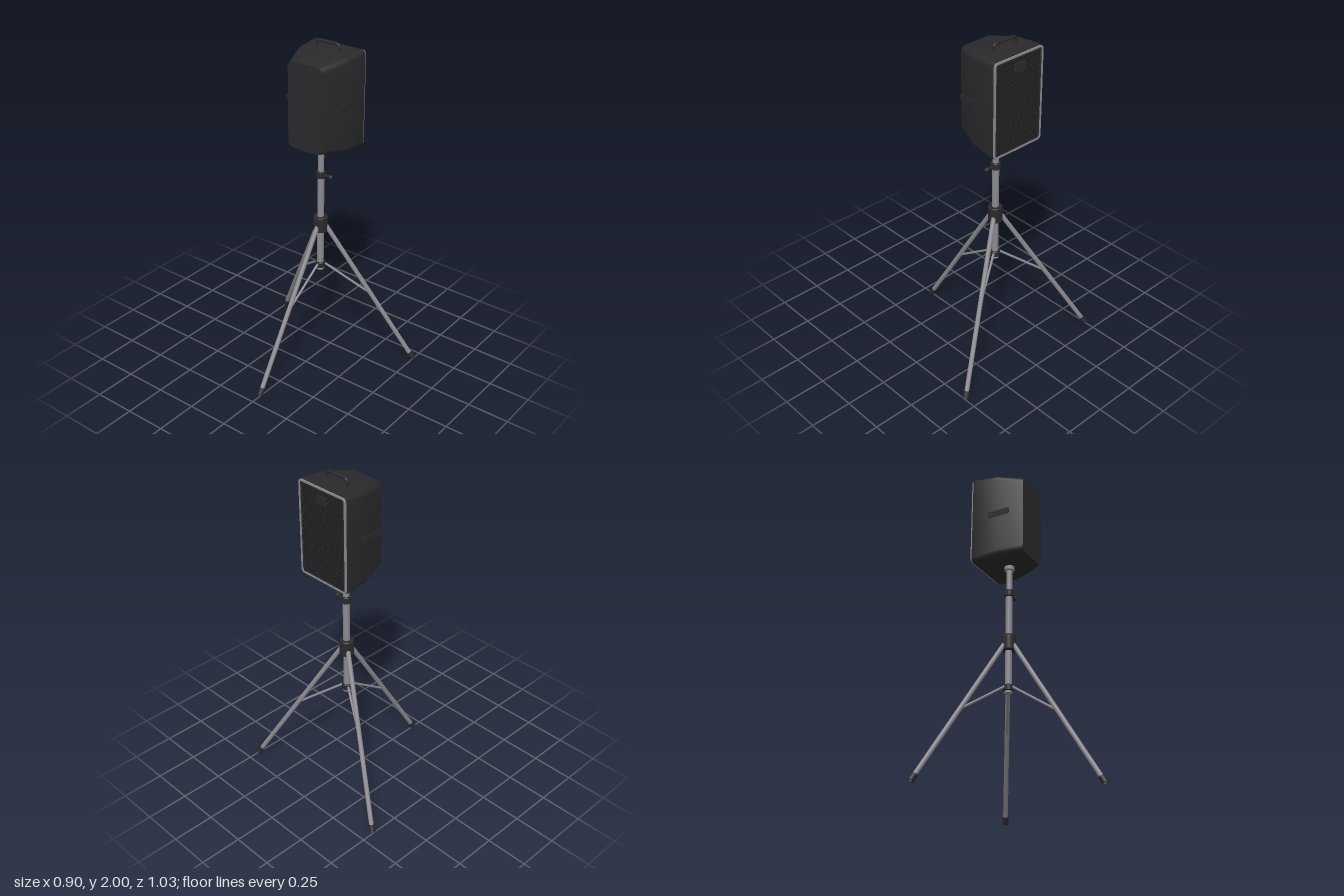
import * as THREE from 'three';
import { toCreasedNormals } from 'three/addons/utils/BufferGeometryUtils.js';

const black = new THREE.MeshStandardMaterial({ color: 0x2a2a2c });
const dark = new THREE.MeshStandardMaterial({ color: 0x161617 });
const metal = new THREE.MeshStandardMaterial({ color: 0x8c8a90 });
const mesh = new THREE.MeshStandardMaterial({ color: 0x2a2a2c, side: THREE.DoubleSide });

const POLE_X = 0.14;
const V = (x, y, z) => new THREE.Vector3(x, y, z);

function add(parent, name, geometry, material, x = 0, y = 0, z = 0) {
  const m = new THREE.Mesh(geometry, material);
  m.name = name;
  m.position.set(x, y, z);
  parent.add(m);
  return m;
}

// Cylinder between two points
function rod(parent, name, a, b, r, material, sides = 20, r2 = r) {
  const m = add(parent, name, new THREE.CylinderGeometry(r2, r, a.distanceTo(b), sides), material);
  m.position.copy(a).add(b).multiplyScalar(0.5);
  m.quaternion.setFromUnitVectors(V(0, 1, 0), b.clone().sub(a).normalize());
  return m;
}

// Ring turned around the pole axis
function collar(parent, name, y0, y1, r, material) {
  const c = 0.004;
  const pts = [[0, y0], [r - c, y0], [r, y0 + c], [r, y1 - c], [r - c, y1], [0, y1]]
    .map(p => new THREE.Vector2(...p));
  return add(parent, name, toCreasedNormals(new THREE.LatheGeometry(pts, 28), 0.5), material);
}

function roundedRect(hw, y0, y1, r, Type = THREE.Shape) {
  const s = new Type();
  s.absarc(hw - r, y0 + r, r, -Math.PI / 2, 0);
  s.absarc(hw - r, y1 - r, r, 0, Math.PI / 2);
  s.absarc(-hw + r, y1 - r, r, Math.PI / 2, Math.PI);
  s.absarc(-hw + r, y0 + r, r, Math.PI, Math.PI * 1.5);
  s.closePath();
  return s;
}

// Cabinet lofted through rounded rectangles along x: [x, halfWidth, bottom, top, radius]
function cabinetGeometry(sections) {
  const pos = [], idx = [], steps = 6, n = 4 * (steps + 1);
  for (const [x, hz, y0, y1, r] of sections) {
    for (let k = 0; k < 4; k++) {
      const cz = (k === 0 || k === 3 ? 1 : -1) * (hz - r);
      const cy = k < 2 ? y1 - r : y0 + r;
      for (let i = 0; i <= steps; i++) {
        const a = (k + i / steps) * Math.PI / 2;
        pos.push(x, cy + r * Math.sin(a), cz + r * Math.cos(a));
      }
    }
  }
  const last = sections.length - 1, back = n * sections.length;
  for (const s of [sections[0], sections[last]]) pos.push(s[0], (s[2] + s[3]) / 2, 0);
  for (let j = 0; j < n; j++) {
    const k = (j + 1) % n;
    for (let i = 0; i < last; i++) {
      const a = i * n + j, c = i * n + k;
      idx.push(a, a + n, c, a + n, c + n, c);
    }
    idx.push(back, j, k, back + 1, last * n + k, last * n + j);
  }
  const g = new THREE.BufferGeometry();
  g.setAttribute('position', new THREE.Float32BufferAttribute(pos, 3));
  g.setIndex(idx);
  return toCreasedNormals(g, 0.35);
}

function createSpeaker() {
  const g = new THREE.Group();
  g.name = 'speaker';
  add(g, 'cabinet', cabinetGeometry([
    [-0.01, 0.115, 1.42, 1.92, 0.035],
    [0.145, 0.17, 1.398, 1.948, 0.035],
    [0.285, 0.178, 1.39, 1.955, 0.028],
    [0.296, 0.176, 1.392, 1.953, 0.026],
  ]), black);

  // Trim frame around the grille
  const frame = roundedRect(0.173, 1.395, 1.949, 0.022);
  frame.holes.push(roundedRect(0.163, 1.405, 1.939, 0.014, THREE.Path));
  const frameGeo = new THREE.ExtrudeGeometry(frame, { depth: 0.012, bevelEnabled: false, curveSegments: 6 });
  add(g, 'grilleFrame', frameGeo.rotateY(Math.PI / 2), metal, 0.293);

  // Perforated grille over a dark backing
  const sheet = roundedRect(0.164, 1.404, 1.94, 0.014);
  const pitch = 0.0165, rowStep = pitch * 0.866, rows = 36;
  for (let row = 0; row < rows; row++) {
    const y = 1.672 + (row - (rows - 1) / 2) * rowStep;
    const cols = row % 2 ? 18 : 19;
    for (let c = 0; c < cols; c++) {
      const x = (c - (cols - 1) / 2) * pitch;
      const hole = new THREE.Path();
      for (let k = 0; k < 6; k++) {
        const a = k * Math.PI / 3 + Math.PI / 6;
        hole[k ? 'lineTo' : 'moveTo'](x + 0.0062 * Math.cos(a), y + 0.0062 * Math.sin(a));
      }
      hole.closePath();
      sheet.holes.push(hole);
    }
  }
  add(g, 'grille', new THREE.ShapeGeometry(sheet, 4).rotateY(Math.PI / 2), mesh, 0.301);
  add(g, 'grilleBacking', new THREE.ShapeGeometry(roundedRect(0.164, 1.404, 1.94, 0.014), 4)
    .rotateY(Math.PI / 2), dark, 0.2975);

  // Blank badge plate
  const badge = new THREE.ExtrudeGeometry(roundedRect(0.036, 1.857, 1.905, 0.006),
    { depth: 0.01, bevelEnabled: false, curveSegments: 4 });
  add(g, 'badge', badge.rotateY(Math.PI / 2), black, 0.3);

  // Side grips
  for (const s of [-1, 1]) {
    const grip = new THREE.ExtrudeGeometry(roundedRect(0.071, -0.018, 0.018, 0.01),
      { depth: 0.005, bevelEnabled: false, curveSegments: 4 });
    add(g, s > 0 ? 'leftGrip' : 'rightGrip', grip.translate(0, 0, -0.0025), black, 0.122, 1.675, s * 0.1745);
  }

  // Carrying handle: two posts joined by rounded corners
  const path = new THREE.CurvePath(), h = 0.076, top = 1.991, r = 0.022;
  path.add(new THREE.LineCurve3(V(0, 1.94, -h), V(0, top - r, -h)));
  path.add(new THREE.QuadraticBezierCurve3(V(0, top - r, -h), V(0, top, -h), V(0, top, -h + r)));
  path.add(new THREE.LineCurve3(V(0, top, -h + r), V(0, top, h - r)));
  path.add(new THREE.QuadraticBezierCurve3(V(0, top, h - r), V(0, top, h), V(0, top - r, h)));
  path.add(new THREE.LineCurve3(V(0, top - r, h), V(0, 1.94, h)));
  add(g, 'topHandle', new THREE.TubeGeometry(path, 64, 0.009, 12), black, 0.195);
  return g;
}

function createStand() {
  const g = new THREE.Group();
  g.name = 'tripodStand';
  g.position.x = POLE_X;
  rod(g, 'upperPole', V(0, 1.2, 0), V(0, 1.4, 0), 0.0175, metal, 28);
  rod(g, 'lowerPole', V(0, 0.605, 0), V(0, 1.22, 0), 0.02, metal, 28);
  collar(g, 'speakerSocket', 1.372, 1.402, 0.03, metal);
  collar(g, 'clampCollar', 1.202, 1.244, 0.028, black);
  collar(g, 'legHub', 0.86, 0.956, 0.042, black);
  collar(g, 'strutCollar', 0.615, 0.652, 0.03, black);
  collar(g, 'poleEnd', 0.6, 0.616, 0.024, metal);

  // Clamp screw with knob
  rod(g, 'clampScrew', V(0, 1.222, 0.02), V(0, 1.222, 0.06), 0.008, black, 14);
  add(g, 'clampKnob', new THREE.SphereGeometry(0.014, 18, 12), black, 0, 1.222, 0.068);

  // Three legs with struts and rubber feet
  for (let i = 0; i < 3; i++) {
    const leg = new THREE.Group();
    leg.name = 'leg' + (i + 1);
    leg.rotation.y = Math.PI / 3 + i * Math.PI * 2 / 3;
    const tip = V(0.575, 0.0095, 0), hip = V(0.025, 0.905, 0);
    rod(leg, 'legTube', tip, hip, 0.0135, metal);
    rod(leg, 'foot', tip, tip.clone().lerp(hip, 0.042), 0.018, black, 20, 0.0165);
    rod(leg, 'strut', V(0.022, 0.642, 0), V(0.302, 0.452, 0), 0.007, metal, 12);
    g.add(leg);
  }
  return g;
}

export function createModel() {
  const model = new THREE.Group();
  model.name = 'speakerOnTripod';
  model.add(createSpeaker(), createStand());
  return model;
}
